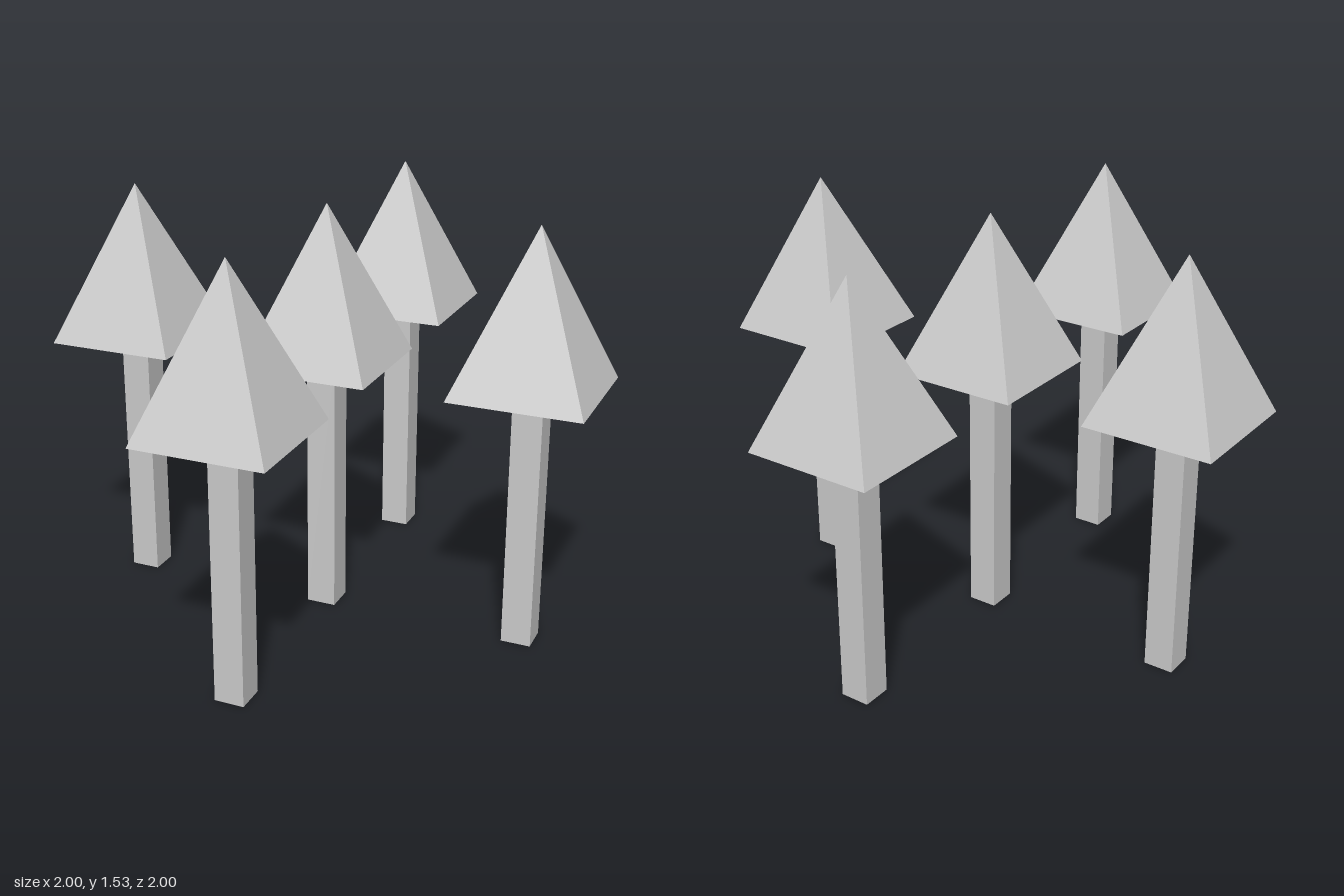
import * as THREE from 'three';

const TRUNK_WIDTH = 0.108, TRUNK_HEIGHT = 0.957;
const CROWN_WIDTH = 0.474, CROWN_HEIGHT = 0.573;
const SPACING = 1 - CROWN_WIDTH / 2;

export function createModel() {
  const group = new THREE.Group();
  const material = new THREE.MeshStandardMaterial({ color: 0xcccccc, flatShading: true });

  // Square trunk standing on the ground
  const trunkGeometry = new THREE.BoxGeometry(TRUNK_WIDTH, TRUNK_HEIGHT, TRUNK_WIDTH)
    .translate(0, TRUNK_HEIGHT / 2, 0);

  // Four-sided pyramid crown with its sides square to the axes
  const crownGeometry = new THREE.ConeGeometry(CROWN_WIDTH / Math.SQRT2, CROWN_HEIGHT, 4)
    .rotateY(Math.PI / 4)
    .translate(0, TRUNK_HEIGHT + CROWN_HEIGHT / 2, 0);

  // One tree in the middle and four around it in a cross
  const places = { centre: [0, 0], left: [1, 0], right: [-1, 0], front: [0, 1], back: [0, -1] };
  for (const [place, [x, z]] of Object.entries(places)) {
    const tree = new THREE.Group();
    tree.name = `${place}Tree`;
    const trunk = new THREE.Mesh(trunkGeometry, material);
    trunk.name = 'trunk';
    const crown = new THREE.Mesh(crownGeometry, material);
    crown.name = 'crown';
    tree.add(trunk, crown);
    tree.position.set(x * SPACING, 0, z * SPACING);
    group.add(tree);
  }
  return group;
}
